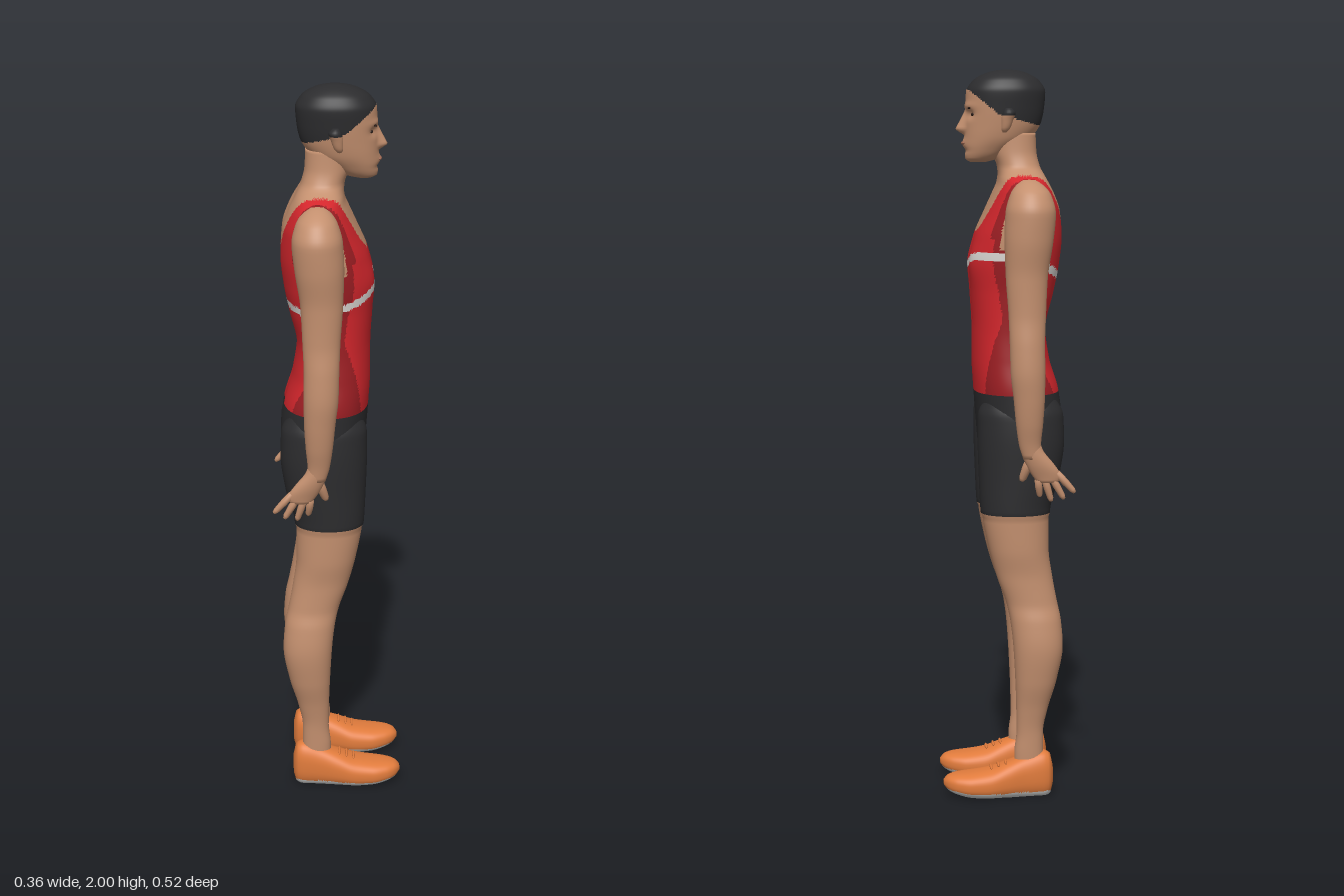
import * as THREE from 'three';

const paint = (name, color) => Object.assign(new THREE.MeshStandardMaterial({ color }), { name });
const MATS = [
  paint('skin', 0xc4906f), paint('vest red', 0xd4262c), paint('vest dark red', 0x9c1e23),
  paint('stripe white', 0xdedad6), paint('black cloth', 0x2c2c2e), paint('shoe orange', 0xe07b3c),
  paint('sole grey', 0xd6d6d4), paint('dark detail', 0x2a1d18), paint('lip brown', 0xa06a54),
];
const [SKIN, RED, DARK, WHITE, BLACK, ORANGE, SOLE, DETAIL, LIP] = MATS.keys();

const { clamp } = THREE.MathUtils;
const bump = (v, centre, width) => Math.exp(-(((v - centre) / width) ** 2));

// Monotone cubic interpolation between the cross-section rows
function rowAt(rows, k, u) {
  const slope = (i, j) => (rows[i + 1][j] - rows[i][j]) / (rows[i + 1][0] - rows[i][0]);
  const tangent = (i, j) => {
    if (i === 0) return slope(0, j);
    if (i === rows.length - 1) return slope(i - 1, j);
    const a = slope(i - 1, j), b = slope(i, j);
    return a * b <= 0 ? 0 : (2 * a * b) / (a + b);
  };
  const h = rows[k + 1][0] - rows[k][0], u2 = u * u, u3 = u2 * u;
  return rows[k].map((v, j) => j === 0 ? v + h * u :
    v * (2 * u3 - 3 * u2 + 1) + rows[k + 1][j] * (3 * u2 - 2 * u3) +
    h * (tangent(k, j) * (u3 - 2 * u2 + u) + tangent(k + 1, j) * (u3 - u2)));
}

// Lofts rows [y, xBack, xFront, zInner, zOuter]; colour(p) picks the material of each face
function loft(name, rows, { colour, sculpt, side = 1, power = 2, seg = 48, step = 0.012 }) {
  const rings = [];
  for (let k = 0; k < rows.length - 1; k++) {
    const n = Math.max(1, Math.ceil((rows[k + 1][0] - rows[k][0]) / step));
    for (let i = 0; i < n; i++) rings.push(rowAt(rows, k, i / n));
  }
  rings.push(rows[rows.length - 1]);
  const pts = [], e = 2 / power;
  const add = (x, y, z, dx, dz) => {
    const p = new THREE.Vector3(x, y, z);
    if (sculpt) sculpt(p, dx, dz);
    p.z *= side;
    pts.push(p);
  };
  for (const [y, xb, xf, zi, zo] of rings) {
    for (let i = 0; i < seg; i++) {
      const t = (i / seg) * Math.PI * 2, c = Math.cos(t), s = Math.sin(t);
      add((xb + xf) / 2 + (xf - xb) / 2 * Math.sign(c) * Math.abs(c) ** e, y,
        (zi + zo) / 2 + (zo - zi) / 2 * Math.sign(s) * Math.abs(s) ** e, c, s);
    }
  }
  for (const r of [rings[0], rings[rings.length - 1]]) add((r[1] + r[2]) / 2, r[0], (r[3] + r[4]) / 2, 0, 0);
  const buckets = MATS.map(() => []);
  const face = (a, b, c) => {
    const mid = pts[a].clone().add(pts[b]).add(pts[c]).divideScalar(3);
    buckets[colour(mid)].push(...(side > 0 ? [a, b, c] : [a, c, b]));
  };
  const last = (rings.length - 1) * seg, cap = rings.length * seg;
  for (let i = 0; i < seg; i++) {
    const j = (i + 1) % seg;
    for (let k = 0; k < last; k += seg) {
      face(k + i, k + seg + i, k + j);
      face(k + seg + i, k + seg + j, k + j);
    }
    face(cap, i, j);
    face(cap + 1, last + j, last + i);
  }
  const geo = new THREE.BufferGeometry().setFromPoints(pts);
  geo.setIndex(buckets.flat());
  let start = 0;
  buckets.forEach((b, m) => { if (b.length) geo.addGroup(start, b.length, m); start += b.length; });
  geo.computeVertexNormals();
  const mesh = new THREE.Mesh(geo, MATS);
  mesh.name = name;
  return mesh;
}
const centred = rows => rows.map(([y, xb, xf, hz]) => [y, xb, xf, -hz, hz]);

function ellipsoid(name, mat, pos, size) {
  const m = new THREE.Mesh(new THREE.SphereGeometry(1, 20, 14), MATS[mat]);
  m.name = name;
  m.position.set(...pos);
  m.scale.set(...size);
  return m;
}

// Tapered finger with a round tip between two points
function finger(name, a, b, r) {
  const from = new THREE.Vector3(...a), dir = new THREE.Vector3(...b).sub(from), len = dir.length();
  const profile = [[0, 0], [r, 0], [r * 1.05, len * 0.45], [r * 0.85, len * 0.85], [r * 0.5, len * 0.97], [0, len]];
  const m = new THREE.Mesh(new THREE.LatheGeometry(profile.map(p => new THREE.Vector2(...p)), 12), MATS[SKIN]);
  m.name = name;
  m.position.copy(from);
  m.quaternion.setFromUnitVectors(new THREE.Vector3(0, 1, 0), dir.normalize());
  return m;
}

// Shorts, vest with side panels and slanted stripe, bare neck and shoulders
function torsoColour({ x, y, z }) {
  const w = Math.abs(z);
  if (y < 1.13) return BLACK;
  if (y > 1.565 + 0.125 * (w / 0.1) ** 3 || y > 1.725) return SKIN;
  if (y > 1.52 && w > 0.16) return SKIN;
  if (Math.abs(y - (1.463 + 0.2 * x - 0.22 * z)) < 0.011) return WHITE;
  const panel = y > 1.55 ? 0.137 : 0.118 + 0.03 * clamp((y - 1.13) / 0.2, 0, 1);
  return w > panel ? DARK : RED;
}
function torsoSculpt(p, dx) {
  const w = Math.abs(p.z);
  if (dx < 0) {
    p.x += 0.018 * bump(w, 0, 0.028) * bump(p.y, 1.5, 0.16);   // spine
    p.x += 0.022 * bump(w, 0, 0.022) * bump(p.y, 1.03, 0.09);  // seat
  } else if (dx > 0) {
    p.x += 0.007 * bump(w, 0.075, 0.05) * bump(p.y, 1.48, 0.06); // chest
    p.x -= 0.004 * bump(w, 0, 0.015) * bump(p.y, 1.35, 0.15);
  }
}

function headColour({ x, y }) {
  return y > 1.88 + (x - 0.02) * (x > 0.02 ? 0.82 : 0.27) ? BLACK : SKIN;
}
function headSculpt(p, dx) {
  if (dx <= 0) return;
  const w = Math.abs(p.z), { y } = p;
  const nose = y > 1.84 ? clamp((1.893 - y) / 0.053, 0, 1) : clamp((y - 1.824) / 0.016, 0, 1);
  p.x += 0.026 * nose * bump(w, 0, 0.008 + 0.006 * nose);
  p.x -= 0.009 * bump(w, 0.033, 0.017) * bump(y, 1.88, 0.013);  // eye sockets
  p.x += 0.004 * bump(w, 0.03, 0.025) * bump(y, 1.902, 0.01);   // brow
  p.x += 0.005 * bump(w, 0, 0.022) * bump(y, 1.803, 0.012);     // mouth
  p.x -= 0.005 * bump(w, 0, 0.03) * bump(y, 1.783, 0.008);
}

function buildHead() {
  const head = new THREE.Group();
  head.name = 'head';
  head.add(loft('skullAndCap', centred([
    [1.752, 0.05, 0.092, 0.018], [1.76, 0.02, 0.106, 0.036], [1.79, -0.03, 0.11, 0.055],
    [1.82, -0.075, 0.109, 0.067], [1.86, -0.1, 0.107, 0.075], [1.9, -0.108, 0.106, 0.08],
    [1.94, -0.111, 0.104, 0.083], [1.97, -0.095, 0.086, 0.071], [1.99, -0.063, 0.052, 0.046],
    [1.998, -0.035, 0.022, 0.022], [2, -0.015, 0, 0.006],
  ]), { colour: headColour, sculpt: headSculpt, power: 2.2, seg: 128, step: 0.005 }));
  head.add(ellipsoid('lips', LIP, [0.112, 1.803, 0], [0.006, 0.005, 0.021]));
  for (const s of [1, -1]) {
    head.add(ellipsoid('eye', DETAIL, [0.087, 1.88, 0.033 * s], [0.006, 0.005, 0.011]));
    const brow = ellipsoid('eyebrow', DETAIL, [0.097, 1.897, 0.035 * s], [0.004, 0.003, 0.017]);
    brow.rotation.y = 0.3 * s;
    head.add(brow);
    head.add(loft('ear', [
      [1.832, 0, 0.01, 0.066, 0.078], [1.84, -0.008, 0.014, 0.066, 0.086], [1.865, -0.018, 0.014, 0.066, 0.094],
      [1.885, -0.024, 0.01, 0.066, 0.099], [1.897, -0.014, 0.002, 0.066, 0.088],
    ], { colour: p => (p.y > 1.878 ? BLACK : SKIN), side: s, seg: 20, step: 0.005 }));
  }
  return head;
}

function buildArm(s) {
  const arm = new THREE.Group();
  arm.name = s > 0 ? 'armPlusZ' : 'armMinusZ';
  arm.add(loft('armSkin', [
    [0.965, -0.085, -0.035, 0.187, 0.22], [1, -0.083, -0.024, 0.18, 0.225], [1.06, -0.088, -0.015, 0.178, 0.238],
    [1.13, -0.092, -0.008, 0.178, 0.248], [1.2, -0.093, 0, 0.176, 0.254], [1.27, -0.092, 0.002, 0.175, 0.251],
    [1.35, -0.095, 0.005, 0.17, 0.244], [1.45, -0.1, 0.012, 0.158, 0.246], [1.55, -0.115, 0.015, 0.142, 0.258],
    [1.62, -0.122, 0.012, 0.12, 0.261], [1.67, -0.11, -0.002, 0.115, 0.238], [1.695, -0.09, -0.02, 0.118, 0.205],
    [1.708, -0.07, -0.038, 0.135, 0.17],
  ], { colour: p => (p.y > 1.56 && Math.abs(p.z) < 0.16 ? (Math.abs(p.z) < 0.137 ? RED : DARK) : SKIN), side: s }));
  arm.add(loft('palm', [
    [0.9, -0.13, -0.075, 0.188, 0.21], [0.915, -0.138, -0.062, 0.184, 0.213], [0.95, -0.118, -0.042, 0.183, 0.22],
    [0.985, -0.09, -0.03, 0.184, 0.222], [1.01, -0.08, -0.03, 0.186, 0.22],
  ], { colour: () => SKIN, side: s, seg: 24 }));
  const tips = [[-0.176, 0.87, 0.2], [-0.147, 0.852, 0.196], [-0.113, 0.845, 0.19], [-0.082, 0.858, 0.184]];
  tips.forEach(([x, y, z], i) =>
    arm.add(finger('finger', [-0.126 + i * 0.017, 0.925 - i * 0.006, 0.2 * s], [x, y, z * s], 0.0095)));
  arm.add(finger('thumb', [-0.055, 0.965, 0.198 * s], [-0.032, 0.9, 0.18 * s], 0.012));
  return arm;
}

function buildLeg(s) {
  const leg = new THREE.Group();
  leg.name = s > 0 ? 'legPlusZ' : 'legMinusZ';
  leg.add(loft('legAndShorts', [
    [0.05, -0.1, -0.02, 0.075, 0.125], [0.12, -0.1, -0.02, 0.073, 0.128], [0.18, -0.1, -0.026, 0.074, 0.13],
    [0.25, -0.113, -0.025, 0.07, 0.14], [0.33, -0.136, -0.022, 0.062, 0.158], [0.43, -0.153, -0.016, 0.056, 0.169],
    [0.5, -0.148, -0.008, 0.052, 0.163], [0.55, -0.138, 0.003, 0.05, 0.153], [0.62, -0.125, 0.028, 0.042, 0.152],
    [0.7, -0.115, 0.05, 0.022, 0.16], [0.8, -0.115, 0.068, 0.008, 0.164], [0.9, -0.14, 0.073, 0.003, 0.168],
    [1, -0.153, 0.076, 0.002, 0.171], [1.07, -0.15, 0.075, 0.01, 0.168], [1.12, -0.125, 0.055, 0.035, 0.15],
  ], {
    colour: p => (p.y > 0.8 ? BLACK : SKIN), side: s, power: 2.15,
    sculpt: (p, dx, dz) => { if (p.y > 0.799) { p.x += dx * 0.004; p.z += dz * 0.004; } },
  }));
  // Shoe lofted from heel to toe, then laid down so that its length runs along x
  const shoe = loft('shoe', [
    [-0.127, -0.09, -0.035, 0.085, 0.115], [-0.12, -0.122, -0.01, 0.07, 0.13], [-0.1, -0.132, 0, 0.062, 0.138],
    [-0.05, -0.12, 0, 0.06, 0.143], [0, -0.103, 0, 0.051, 0.152], [0.05, -0.084, 0, 0.043, 0.158],
    [0.1, -0.076, -0.004, 0.045, 0.157], [0.14, -0.072, -0.014, 0.057, 0.147], [0.165, -0.066, -0.026, 0.074, 0.13],
    [0.177, -0.054, -0.04, 0.09, 0.112],
  ], {
    colour: p => (-p.x < 0.022 + 0.12 * Math.max(0, p.y - 0.08) ? SOLE : ORANGE), side: s, power: 2.5, step: 0.008,
    sculpt: p => { p.x = Math.min(p.x, -0.006 - 0.1 * Math.max(0, p.y - 0.08)); },
  });
  shoe.rotation.z = -Math.PI / 2;
  shoe.position.y = -0.006;
  leg.add(shoe);
  for (let i = 0; i < 3; i++)
    leg.add(ellipsoid('lace', ORANGE, [0.005 + i * 0.02, 0.095 - i * 0.007, 0.101 * s], [0.004, 0.005, 0.024]));
  return leg;
}

export function createModel() {
  const model = new THREE.Group();
  model.name = 'athlete';
  model.add(loft('torso', centred([
    [0.84, -0.06, 0.025, 0.03], [0.88, -0.1, 0.055, 0.1], [0.95, -0.135, 0.07, 0.15], [1.05, -0.157, 0.079, 0.173],
    [1.13, -0.148, 0.085, 0.173], [1.22, -0.122, 0.09, 0.158], [1.3, -0.112, 0.09, 0.151], [1.4, -0.134, 0.095, 0.156],
    [1.47, -0.148, 0.097, 0.166], [1.55, -0.156, 0.084, 0.175], [1.62, -0.15, 0.055, 0.178], [1.67, -0.133, 0.032, 0.17],
    [1.7, -0.118, 0.02, 0.145], [1.72, -0.108, 0.018, 0.1], [1.74, -0.098, 0.02, 0.074], [1.78, -0.088, 0.032, 0.063],
    [1.83, -0.085, 0.035, 0.06],
  ]), { colour: torsoColour, sculpt: torsoSculpt, power: 2.3, seg: 128, step: 0.008 }));
  model.add(buildHead());
  for (const s of [1, -1]) model.add(buildArm(s), buildLeg(s));
  return model;
}
